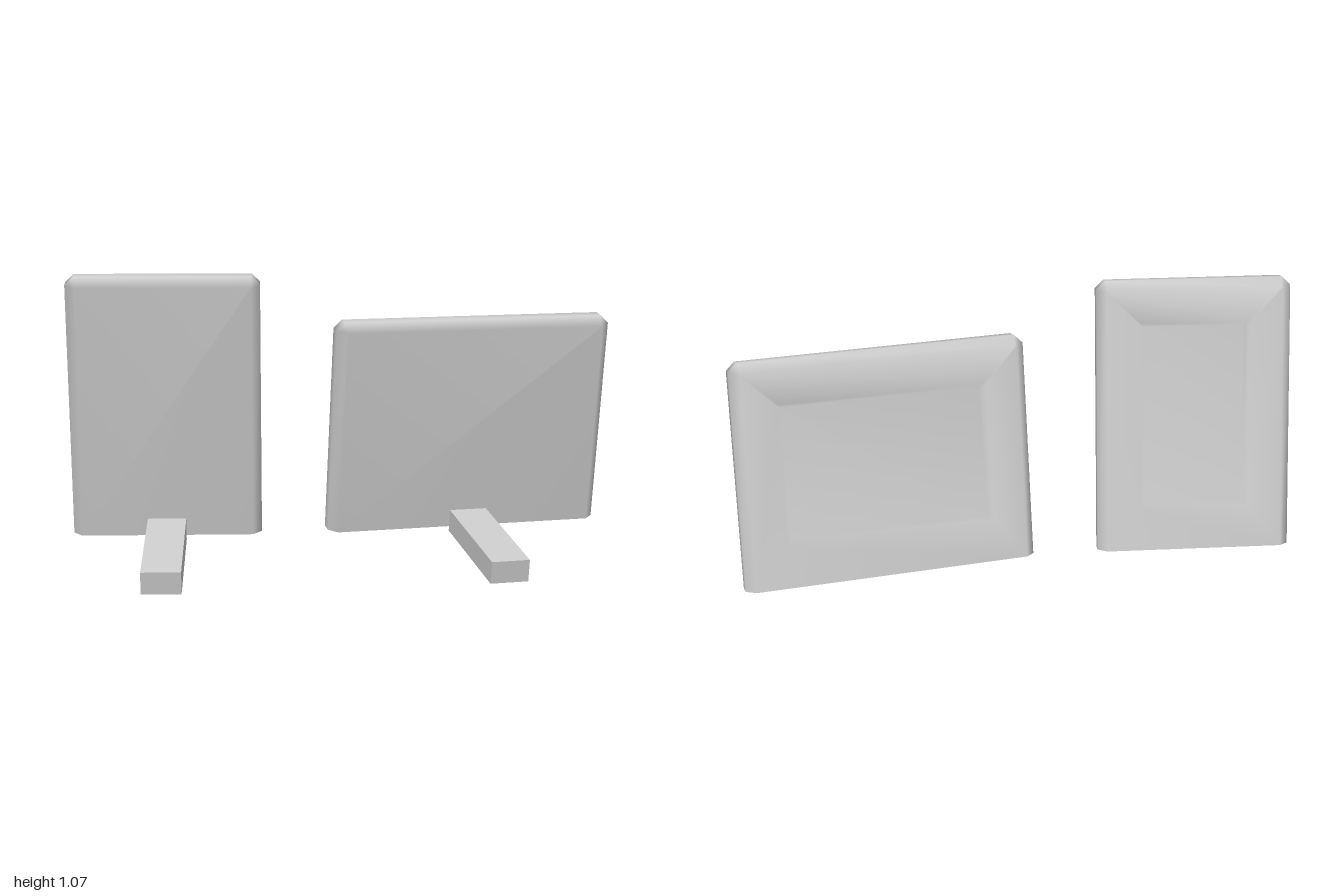
import * as THREE from 'three';

const grey = new THREE.MeshStandardMaterial({ color: 0xcccccc });
grey.name = 'light grey';

const T = 0.108; // panel thickness
const C = 0.032; // edge bevel

// Cross-sections from front to back: [inset, bottom inset, corner cut, z]
const RINGS = [
  [C, 0, 0.004, 0],
  [0, 0, 0.03, -C],
  [0, 0, 0.03, -T + C],
  [C, 0, 0.004, -T],
  [0.15, 0.15, 0.004, -T],
  [0.165, 0.165, 0.004, -T + 0.022],
];

// Bevelled panel with a flat-cut bottom and a shallow recess in its back
function panelGeometry(width, height) {
  const pos = [], index = [];
  const N = 6;
  for (const [inset, bottom, cut, z] of RINGS) {
    const x = width / 2 - inset, y = height - inset;
    for (const [px, py] of [
      [-x, bottom], [x, bottom], [x, y - cut],
      [x - cut, y], [-x + cut, y], [-x, y - cut],
    ]) pos.push(px, py, z);
  }
  const quad = (a, b, c, d) => index.push(a, d, c, a, c, b);

  // walls, leaving the bottom open
  for (let i = 0; i < RINGS.length - 1; i++) {
    for (let j = 0; j < N; j++) {
      if (j === 0 && i < 3) continue;
      const k = (j + 1) % N;
      quad(i * N + j, i * N + k, (i + 1) * N + k, (i + 1) * N + j);
    }
  }
  // front face and recess floor
  const last = (RINGS.length - 1) * N;
  for (let j = 1; j < N - 1; j++) {
    index.push(0, j, j + 1);
    index.push(last, last + j + 1, last + j);
  }
  // flat bottom with its own corners, so its edges stay sharp
  const base = pos.length / 3;
  for (let i = 0; i < 4; i++) {
    const x = width / 2 - RINGS[i][0], z = RINGS[i][3];
    pos.push(-x, 0, z, x, 0, z);
  }
  for (let i = 0; i < 3; i++) {
    const a = base + i * 2;
    quad(a, a + 1, a + 3, a + 2);
  }
  const geo = new THREE.BufferGeometry();
  geo.setAttribute('position', new THREE.Float32BufferAttribute(pos, 3));
  geo.setIndex(index);
  geo.computeVertexNormals();
  return geo;
}

// One leaning panel with its foot; the origin is the middle of the front bottom edge
function standingPanel(name, width, height, yaw, position, footEnd) {
  const group = new THREE.Group();
  group.name = name;

  const panel = new THREE.Mesh(panelGeometry(width, height), grey);
  panel.name = 'panel';
  group.add(panel);

  const start = 0.032;
  const foot = new THREE.Mesh(new THREE.BoxGeometry(0.14, 0.082, footEnd - start), grey);
  foot.name = 'foot';
  foot.position.set(0, 0.037, (start + footEnd) / 2);
  group.add(foot);

  group.rotation.set(THREE.MathUtils.degToRad(10), yaw, 0, 'YXZ');
  group.position.set(...position);
  return group;
}

export function createModel() {
  const model = new THREE.Group();
  model.name = 'pairOfStandingPanels';
  model.add(
    standingPanel('widePanel', 1.04, 0.797, 0.116, [0.467, 0.096, -0.185], 0.528),
    standingPanel('tallPanel', 0.69, 0.972, -0.1, [-0.643, 0.096, -0.174], 0.52),
  );
  return model;
}
